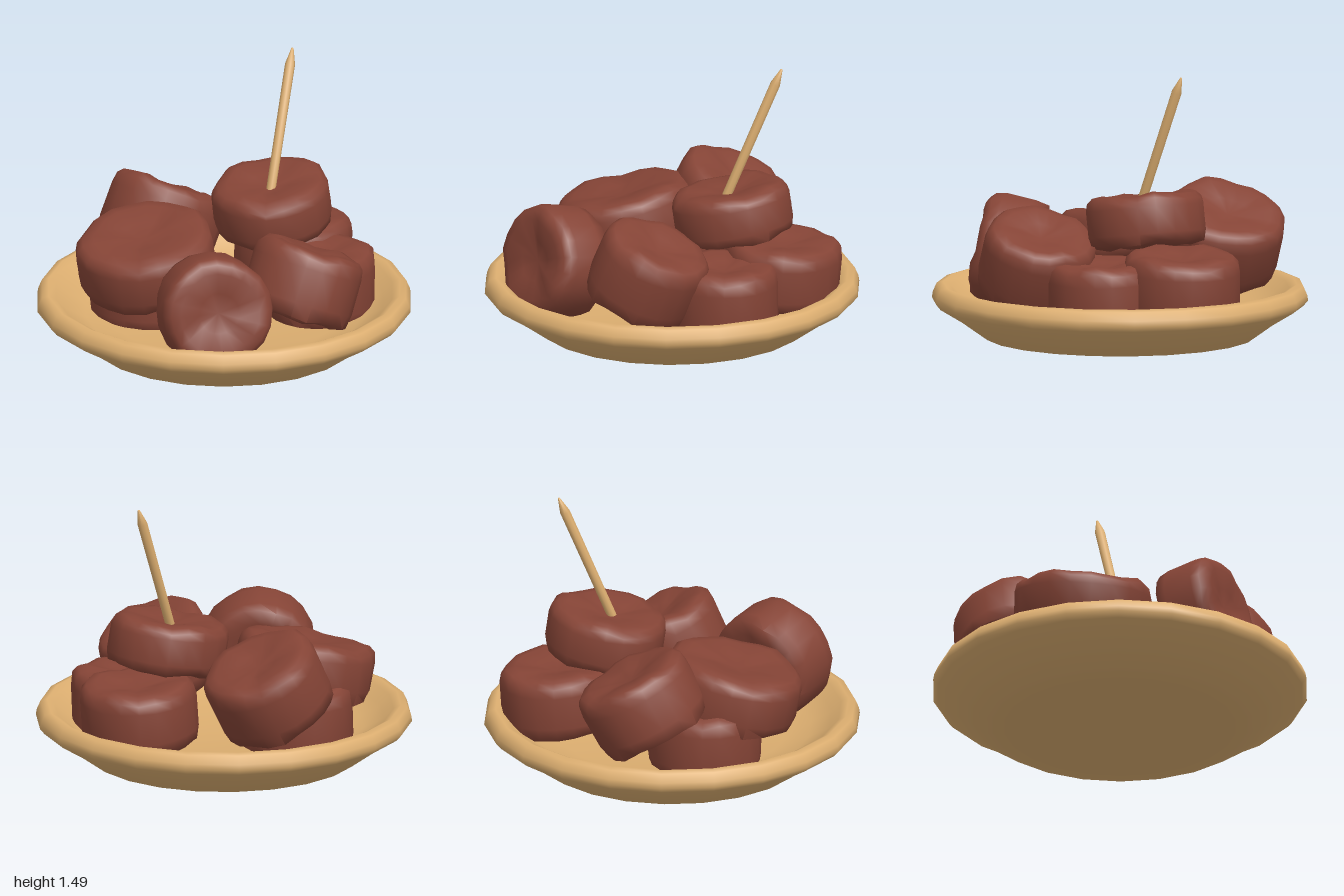
import * as THREE from 'three';
import { toCreasedNormals } from 'three/addons/utils/BufferGeometryUtils.js';

const v2 = (p) => new THREE.Vector2(p[0], p[1]);
const UP = new THREE.Vector3(0, 1, 0);

// Short lumpy drum with sunken, wrinkled ends, axis along y
function chunkGeometry(radius, height, seed) {
  const h = height / 2;
  const profile = [
    [0, -h + 0.035], [radius * 0.35, -h + 0.02], [radius * 0.72, -h], [radius * 0.96, -h + 0.02],
    [radius, -h * 0.5], [radius, h * 0.5], [radius * 0.97, h - 0.035],
    [radius * 0.88, h - 0.008], [radius * 0.72, h], [radius * 0.36, h - 0.02], [0, h - 0.045],
  ].map(v2);
  const geo = new THREE.LatheGeometry(profile, 20);
  const pos = geo.attributes.position;
  const p = new THREE.Vector3();
  for (let i = 0; i < pos.count; i++) {
    p.fromBufferAttribute(pos, i);
    const a = Math.atan2(p.z, p.x);
    const r = Math.hypot(p.x, p.z);
    const out = 1 + 0.013 * Math.sin(3 * a + seed * 2.1) + 0.012 * Math.sin(5 * a + seed + p.y * 9);
    const wave = 0.009 * Math.sin(4 * a + seed * 1.7) + 0.008 * Math.sin(7 * a - seed);
    const lift = Math.abs(p.y) > h * 0.6 ? wave * (r / radius) : 0;
    pos.setXYZ(i, p.x * out, p.y + lift, p.z * out);
  }
  return toCreasedNormals(geo, 1.2);
}

export function createModel() {
  const model = new THREE.Group();
  const wood = new THREE.MeshStandardMaterial({ color: 0xdcae70 });
  wood.name = 'paleWood';
  const brown = new THREE.MeshStandardMaterial({ color: 0x854436 });
  brown.name = 'reddishBrown';

  function add(name, geo, material) {
    const mesh = new THREE.Mesh(geo, material);
    mesh.name = name;
    model.add(mesh);
    return mesh;
  }

  // Shallow dish with a thick rounded rim
  const dish = [
    [0, 0], [0.6, 0.003], [0.72, 0.02], [0.86, 0.12], [0.975, 0.19], [1, 0.22], [0.995, 0.25],
    [0.975, 0.295], [0.94, 0.305], [0.9, 0.285], [0.85, 0.235], [0.74, 0.175], [0.6, 0.145], [0, 0.13],
  ].map(v2);
  add('plate', toCreasedNormals(new THREE.LatheGeometry(dish, 22), 1.3), wood);

  // Pieces: name, centre, axis direction, radius, height
  const pieces = [
    ['topPiece', [0.35, 0.69, 0.035], [-0.17, 1, 0], 0.315, 0.28],
    ['rightPiece', [0.6, 0.365, -0.04], [0.07, 1, 0], 0.31, 0.35],
    ['frontRightPiece', [0.4, 0.3, 0.33], [0, 1, 0.02], 0.287, 0.39],
    ['frontPiece', [0.035, 0.46, 0.525], [0.4, 0.9, 0.04], 0.298, 0.38],
    ['lyingPiece', [-0.525, 0.43, 0.385], [-0.57, 0.2, 0.78], 0.3, 0.32],
    ['backLeftPiece', [-0.335, 0.51, -0.25], [-0.22, 0.97, 0.02], 0.368, 0.31],
    ['backPiece', [0.125, 0.53, -0.55], [0.46, 0.88, 0.02], 0.315, 0.37],
    ['hiddenPiece', [-0.2, 0.28, -0.37], [0, 1, 0], 0.3, 0.38],
  ];
  pieces.forEach(([name, centre, axis, radius, height], i) => {
    const mesh = add(name, chunkGeometry(radius, height, i * 1.3 + 0.6), brown);
    mesh.position.set(...centre);
    mesh.quaternion.setFromUnitVectors(UP, new THREE.Vector3(...axis).normalize());
  });

  // Pointed pick leaning out of the top piece
  const start = new THREE.Vector3(0.29, 0.7, 0.06);
  const lean = new THREE.Vector3(0.6, 1.485, -0.04).sub(start);
  const len = lean.length();
  const pick = [[0, 0], [0.025, 0], [0.027, len - 0.09], [0.006, len - 0.004], [0, len]].map(v2);
  const stick = add('toothpick', toCreasedNormals(new THREE.LatheGeometry(pick, 8), 0.9), wood);
  stick.position.copy(start);
  stick.quaternion.setFromUnitVectors(UP, lean.normalize());

  return model;
}
